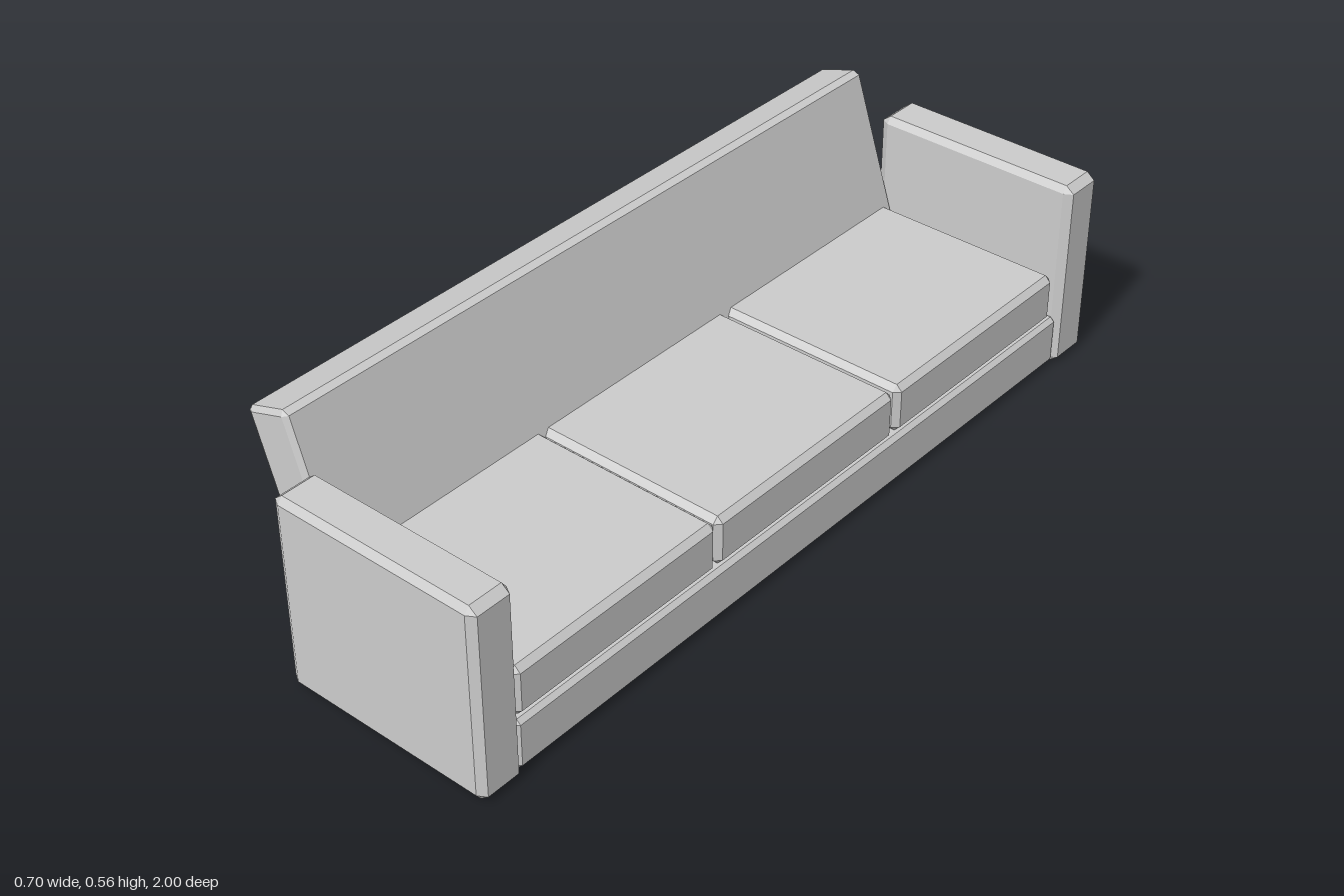
import * as THREE from 'three';
import { ConvexGeometry } from 'three/addons/geometries/ConvexGeometry.js';

const material = new THREE.MeshStandardMaterial({ color: 0xcccccc, flatShading: true });

// Box with chamfered edges: size [x, y, z], chamfer [x, y, z] per axis
function chamferBox(size, chamfer) {
  const points = [];
  for (const sx of [-1, 1]) for (const sy of [-1, 1]) for (const sz of [-1, 1]) {
    const signs = [sx, sy, sz];
    for (let full = 0; full < 3; full++) {
      const p = signs.map((s, i) => s * (size[i] / 2 - (i === full ? 0 : chamfer[i])));
      points.push(new THREE.Vector3(...p));
    }
  }
  return new ConvexGeometry(points);
}

// Chamfered block spanning the given minimum and maximum corners
function block(name, min, max, chamfer) {
  const mesh = new THREE.Mesh(chamferBox(max.map((v, i) => v - min[i]), chamfer), material);
  mesh.position.set(...max.map((v, i) => (v + min[i]) / 2));
  mesh.name = name;
  return mesh;
}

export function createModel() {
  const sofa = new THREE.Group();
  sofa.name = 'sofa';

  // Low plinth under the seat
  sofa.add(block('base', [-0.2, 0.008, -0.895], [0.342, 0.13, 0.895], [0.01, 0.01, 0.008]));

  // Armrests at both ends
  for (const [name, z0, z1] of [['armrestNear', 0.893, 1], ['armrestFar', -1, -0.893]]) {
    sofa.add(block(name, [-0.177, 0, z0], [0.35, 0.47, z1], [0.02, 0.016, 0.012]));
  }

  // Three seat cushions
  [[0.31, 0.889], [-0.277, 0.307], [-0.878, -0.287]].forEach(([z0, z1], i) => {
    sofa.add(block('seatCushion' + (i + 1), [-0.16, 0.13, z0], [0.336, 0.25, z1], [0.014, 0.014, 0.014]));
  });

  // Reclined backrest
  const back = new THREE.Mesh(chamferBox([0.122, 0.554, 1.786], [0.014, 0.012, 0.008]), material);
  back.name = 'backrest';
  back.position.set(-0.213, 0.287, 0);
  back.rotation.z = THREE.MathUtils.degToRad(18.4);
  sofa.add(back);

  return sofa;
}
